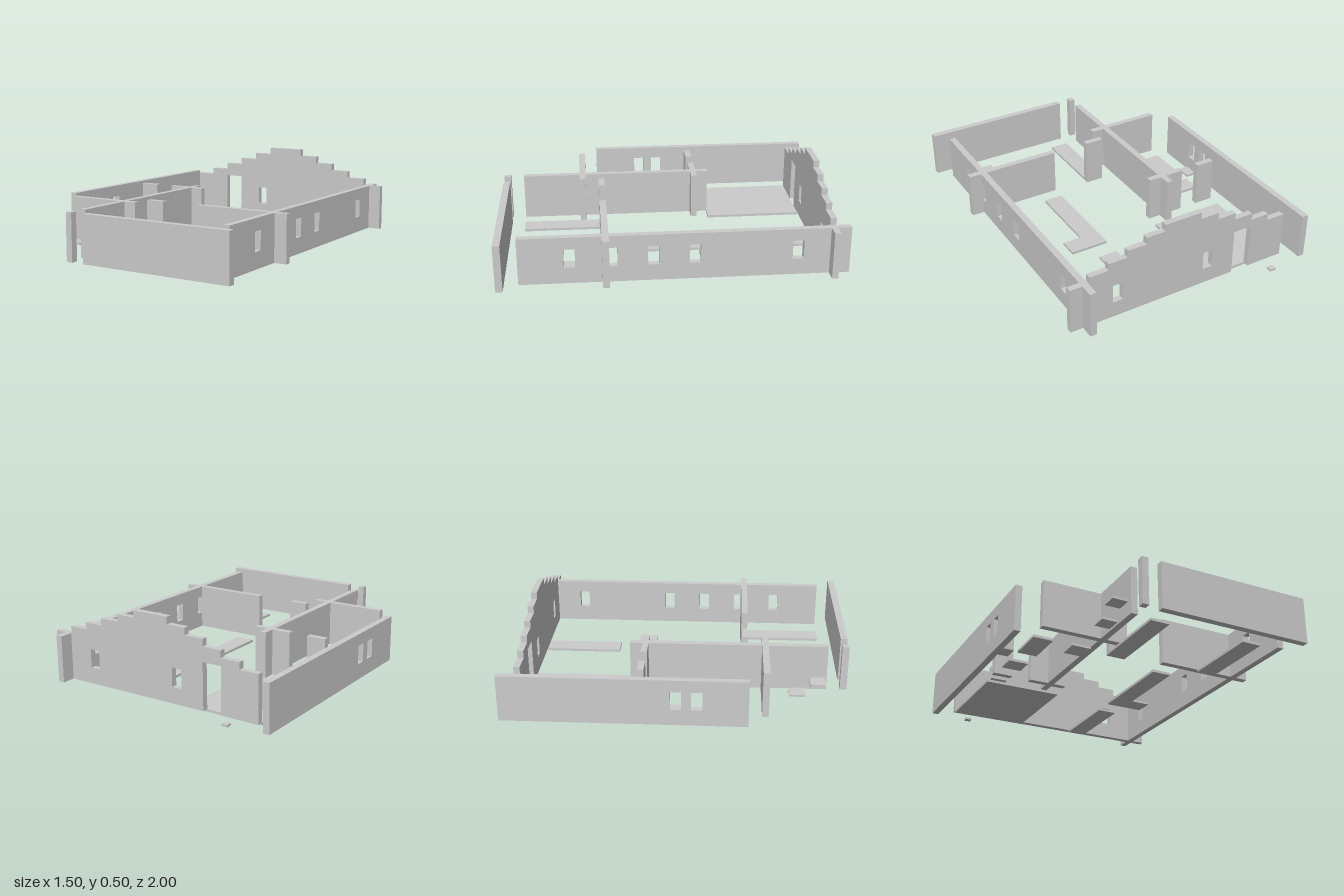
import * as THREE from 'three';

const FLOOR = 0.015, TOP = 0.29;
const material = new THREE.MeshStandardMaterial({ color: 0xcccccc, flatShading: true });

export function createModel() {
  const group = new THREE.Group();

  function add(name, geometry) {
    const mesh = new THREE.Mesh(geometry, material);
    mesh.name = name;
    group.add(mesh);
  }

  // Box given by its limits on each axis
  function block(name, x0, x1, z0, z1, y0 = FLOOR, y1 = TOP) {
    const g = new THREE.BoxGeometry(x1 - x0, y1 - y0, z1 - z0);
    g.translate((x0 + x1) / 2, (y0 + y1) / 2, (z0 + z1) / 2);
    add(name, g);
  }

  function rectPath(a0, a1, b0, b1) {
    const pts = [[a0, b0], [a1, b0], [a1, b1], [a0, b1]];
    return new THREE.Path(pts.map(p => new THREE.Vector2(...p)));
  }

  // Window hole centred at c along the wall
  const windowHole = c => rectPath(c - 0.031, c + 0.031, 0.11, 0.22);

  // Side wall running along z with windows
  function sideWall(name, x0, x1, z0, z1, windows) {
    const shape = new THREE.Shape(rectPath(z0, z1, FLOOR, TOP).getPoints());
    windows.forEach(c => shape.holes.push(windowHole(c)));
    const g = new THREE.ExtrudeGeometry(shape, { depth: x1 - x0, bevelEnabled: false });
    g.rotateY(-Math.PI / 2).translate(x1, 0, 0);
    add(name, g);
  }

  sideWall('rightWall', -0.75, -0.712, -0.965, 0.42, [0.02, 0.135]);
  sideWall('leftWall', 0.633, 0.671, -0.965, 0.88, [-0.67, -0.095, 0.135, 0.365, 0.597]);

  // Stepped gable wall at the back, with doorway and two windows
  const cell = 0.115, rise = 0.0414;
  const outline = [[-0.635, FLOOR], [0.745, FLOOR], [0.745, TOP]];
  for (let i = 0; i < 5; i++) {
    const x = 0.63 - i * cell;
    outline.push([x, TOP + i * rise], [x, TOP + (i + 1) * rise]);
  }
  for (let i = 4; i >= 0; i--) {
    const x = -0.52 + i * cell;
    outline.push([x, TOP + (i + 1) * rise], [x, TOP + i * rise]);
  }
  outline.push([-0.635, TOP]);
  // the doorway notches the lower edge
  outline.splice(1, 0, [-0.405, FLOOR], [-0.405, 0.288], [-0.29, 0.288], [-0.29, FLOOR]);
  const gable = new THREE.Shape(outline.map(p => new THREE.Vector2(...p)));
  gable.holes.push(windowHole(-0.1175), windowHole(0.4575));
  add('gableWall', new THREE.ExtrudeGeometry(gable, { depth: 0.036, bevelEnabled: false })
    .translate(0, 0, -0.886));

  // Plain walls: x0, x1, z0, z1
  block('frontWall', -0.175, 0.745, 0.96, 1);
  block('frontPost', -0.29, -0.252, 0.96, 1);
  block('innerLongWall', -0.29, -0.252, -0.272, 0.88);
  block('innerCrossWall', -0.635, -0.175, 0.497, 0.535);
  block('innerBackPier', -0.635, -0.52, -0.2, -0.163);
  block('innerBackWall', -0.405, -0.175, -0.2, -0.163);
  block('innerFrontPier', -0.175, -0.062, 0.38, 0.418);
  block('innerFrontWall', 0.17, 0.745, 0.38, 0.418);

  // Thin floor panels
  const floors = [
    [-0.635, -0.175, -0.85, -0.272],
    [-0.635, -0.52, -0.04, 0.072],
    [-0.635, -0.52, 0.19, 0.418],
    [-0.405, -0.29, 0.303, 0.418],
    [-0.175, -0.062, 0.38, 0.88],
    [0.17, 0.285, -0.85, -0.388],
    [0.17, 0.285, -0.272, 0.303],
    [0.285, 0.4, -0.272, -0.16],
    [0.4, 0.515, 0.418, 0.88],
  ];
  floors.forEach(f => block('floorPanel', ...f, 0, FLOOR));

  // Small plates and a raised shelf
  block('sidePlate', -0.712, -0.65, 0.085, 0.178, FLOOR, 0.028);
  block('backStep', -0.52, -0.483, -1, -0.965, FLOOR, 0.028);
  block('lowShelf', -0.392, -0.302, 0.66, 0.752, FLOOR, 0.028);
  block('highShelf', -0.392, -0.302, 0.778, 0.868, 0.083, 0.097);

  return group;
}
